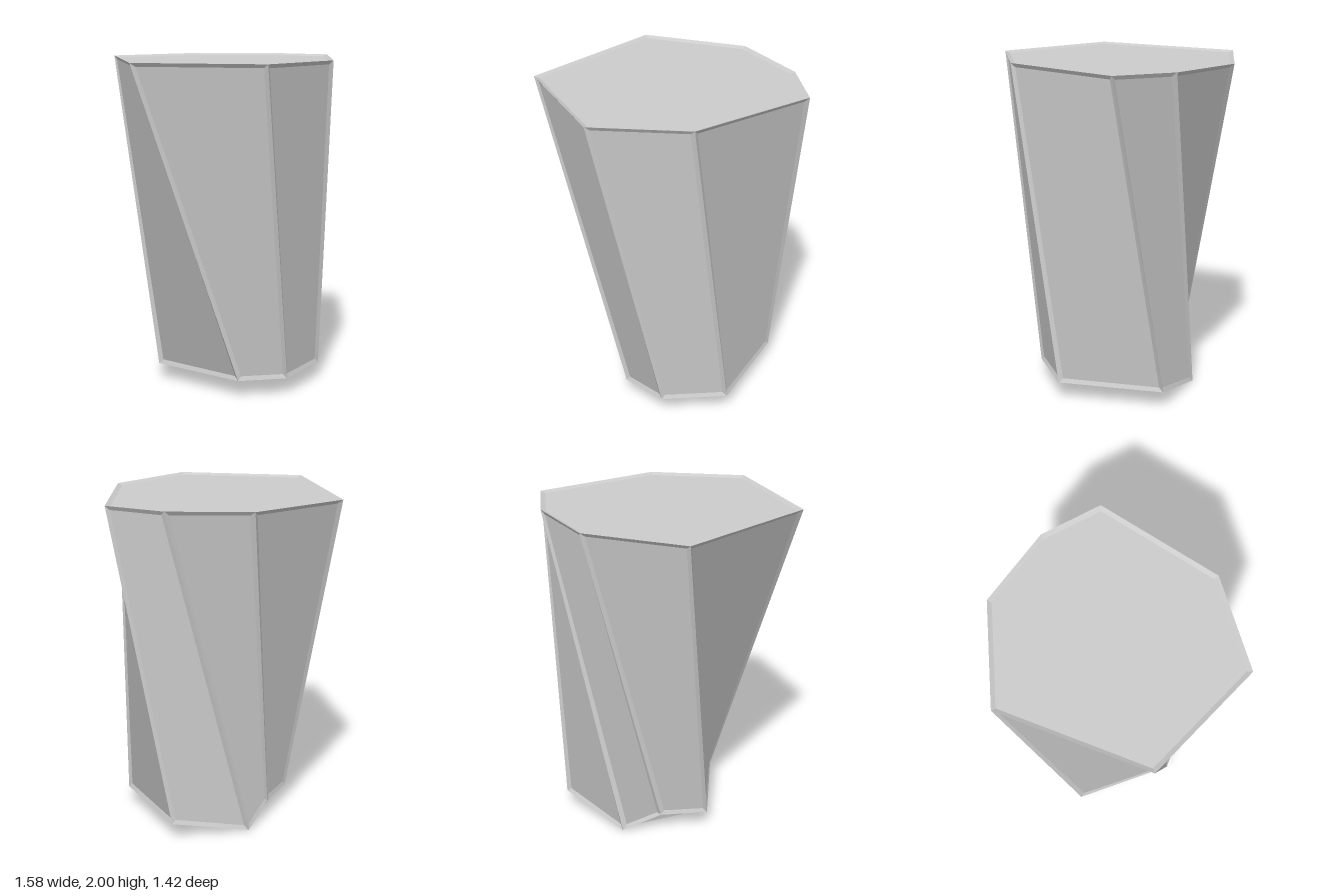
import * as THREE from 'three';

const V = (x, y, z) => new THREE.Vector3(x, y, z);
const RIM = 0.025, DEPTH = 0.012;

// Matching corners of the top and the bottom, clockwise seen from above
const top = [[-0.18, -0.71], [0.44, -0.54], [0.725, -0.135], [0.79, 0.24], [0.16, 0.71], [-0.43, 0.68], [-0.79, -0.01]]
  .map(([x, z]) => V(x, 2, z));
const bottom = [[-0.27, 0.1, -0.275], [0.015, 0.105, -0.34], [0.25, 0, -0.37], [0.64, 0.105, -0.09],
  [0.37, 0.105, 0.49], [-0.03, 0.105, 0.54], [-0.26, 0.105, 0.345]].map((p) => V(...p));
const n = top.length;

const faceNormal = (a, b, c) => b.clone().sub(a).cross(c.clone().sub(a)).normalize();

// Slightly sunken panel: a sloping rim from the outer to the inner loop, then the inner face.
// Loops run counter-clockwise seen from outside; without a normal the inner face is faceted.
function panel(name, outer, inner, triangles, normal, material) {
  const pos = [], nor = [];
  const tri = (a, b, c, m = faceNormal(a, b, c)) => {
    for (const p of [a, b, c]) { pos.push(p.x, p.y, p.z); nor.push(m.x, m.y, m.z); }
  };
  outer.forEach((p, i) => {
    const j = (i + 1) % outer.length;
    const m = faceNormal(p, outer[j], inner[j]).add(faceNormal(p, inner[j], inner[i])).normalize();
    tri(p, outer[j], inner[j], m);
    tri(p, inner[j], inner[i], m);
  });
  for (const t of triangles) tri(...t.map((k) => inner[k]), normal);
  const g = new THREE.BufferGeometry();
  g.setAttribute('position', new THREE.Float32BufferAttribute(pos, 3));
  g.setAttribute('normal', new THREE.Float32BufferAttribute(nor, 3));
  const mesh = new THREE.Mesh(g, material);
  mesh.name = name;
  return mesh;
}

// Twisted side between two neighbouring corners, folded inward along its diagonal
function sidePanel(i, material) {
  const j = (i + 1) % n;
  const outer = [bottom[i], top[i], top[j], bottom[j]];
  const normal = top[i].clone().sub(bottom[j]).cross(top[j].clone().sub(bottom[i])).normalize();
  const inner = [[0, 0], [0, 1], [1, 1], [1, 0]].map(([s, t]) => {
    const a = t ? top[i] : bottom[i], b = t ? top[j] : bottom[j];
    const u = RIM / a.distanceTo(b), v = RIM / 2;
    const at = (f, g) => bottom[i].clone().lerp(bottom[j], f).lerp(top[i].clone().lerp(top[j], f), g);
    return at(s ? 1 - u : u, t ? 1 - v : v).addScaledVector(normal, -DEPTH);
  });
  return panel('side', outer, inner, [[0, 1, 2], [0, 2, 3]], normal, material);
}

// Loop drawn in towards a centre and sunk along y
const shrink = (loop, centre, dy) => loop.map((p) => p.clone().lerp(centre, 0.04).add(V(0, dy, 0)));

export function createModel() {
  const group = new THREE.Group();
  group.name = 'stoneBlock';
  const material = new THREE.MeshStandardMaterial({ color: 0xcccccc });

  // Sides
  for (let i = 0; i < n; i++) group.add(sidePanel(i, material));

  // Top face
  const topLoop = [...top].reverse();
  const fan = Array.from({ length: n - 2 }, (_, k) => [0, k + 1, k + 2]);
  group.add(panel('topFace', topLoop, shrink(topLoop, V(0, 2, 0), -DEPTH), fan, V(0, 1, 0), material));

  // Underside: flat part, sloping corner and a small chip at the back
  const facets = [[0, 3, 4], [0, 4, 5], [0, 5, 6], [0, 2, 3], [0, 1, 2]];
  group.add(panel('underside', bottom, shrink(bottom, V(0.08, 0.1, 0.04), DEPTH), facets, undefined, material));
  return group;
}
